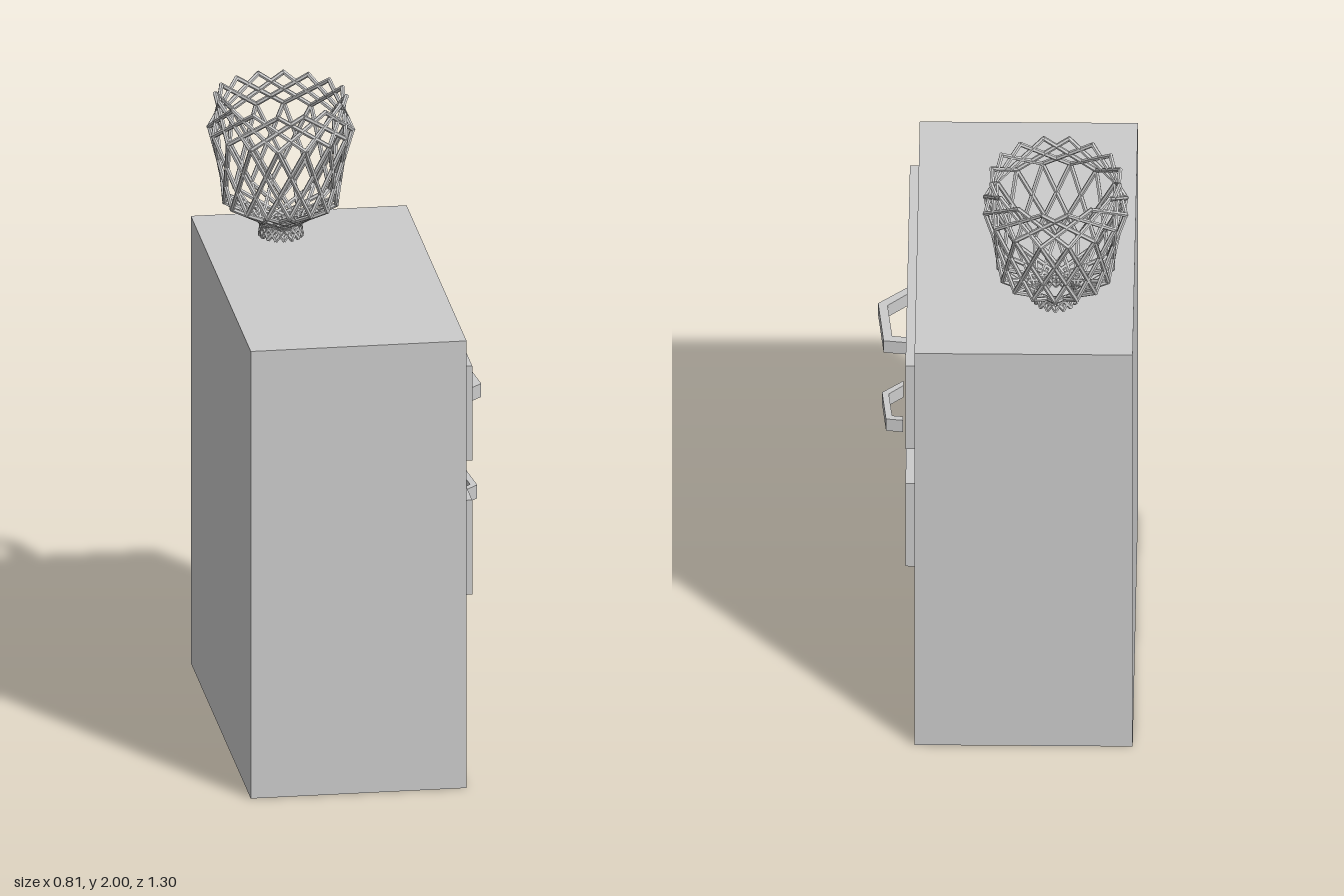
import * as THREE from 'three';
import { mergeGeometries } from 'three/addons/utils/BufferGeometryUtils.js';

const material = new THREE.MeshStandardMaterial({ color: 0xcccccc, flatShading: true });

function part(group, name, geometry, x = 0, y = 0, z = 0) {
  const mesh = new THREE.Mesh(geometry, material);
  mesh.name = name;
  mesh.position.set(x, y, z);
  group.add(mesh);
  return mesh;
}

const polygon = (Type, points) => new Type(points.map(([a, b]) => new THREE.Vector2(a, b)));
const rect = (Type, a0, a1, b0, b1) => polygon(Type, [[a0, b0], [a1, b0], [a1, b1], [a0, b1]]);

// Cabinet shell with the open niche and the slot below it; shape x runs along -z
function cabinetShell(depth) {
  const shape = rect(THREE.Shape, -0.65, 0.65, 0, 1.5);
  shape.holes.push(rect(THREE.Path, -0.545, 0.555, 0.195, 0.47));
  shape.holes.push(rect(THREE.Path, -0.545, 0.555, 0.15, 0.18));
  const geometry = new THREE.ExtrudeGeometry(shape, { depth, bevelEnabled: false });
  return geometry.rotateY(Math.PI / 2);
}

// Angular pull: outline in x and z, extruded upward
function handle(scale, height) {
  const outline = [[0, -0.1], [0.075, -0.09], [0.095, 0.12], [0, 0.213],
    [0, 0.175], [0.065, 0.108], [0.048, -0.063], [0, -0.07]];
  const shape = polygon(THREE.Shape, outline.map(([x, z]) => [x * scale, -z * scale]));
  const geometry = new THREE.ExtrudeGeometry(shape, { depth: height, bevelEnabled: false });
  return geometry.rotateX(-Math.PI / 2);
}

// Straight round rod between two points
function rod(a, b, radius) {
  const dir = b.clone().sub(a);
  const geometry = new THREE.CylinderGeometry(radius, radius, dir.length() + radius, 6);
  const turn = new THREE.Quaternion().setFromUnitVectors(new THREE.Vector3(0, 1, 0), dir.normalize());
  const mid = a.clone().add(b).multiplyScalar(0.5);
  return geometry.applyQuaternion(turn).translate(mid.x, mid.y, mid.z);
}

// Basket woven from rods that wind both ways through the same levels
function basketLattice() {
  const count = 16, step = (Math.PI * 2) / count;
  // radius, height, turn in steps
  const levels = [[0.066, 1.527, 0], [0.062, 1.56, 1], [0.18, 1.64, 4], [0.227, 1.88, 5.5], [0.207, 1.99, 7.5]];
  const rods = [];
  for (let i = 0; i < count; i++) {
    for (const way of [-1, 1]) {
      const points = levels.map(([r, y, turn]) => {
        const angle = (i + way * turn) * step;
        return new THREE.Vector3(r * Math.cos(angle), y, r * 1.06 * Math.sin(angle));
      });
      for (let k = 1; k < points.length; k++) rods.push(rod(points[k - 1], points[k], 0.0075));
    }
  }
  return mergeGeometries(rods);
}

export function createModel() {
  const model = new THREE.Group();
  model.name = 'cabinetWithBasket';

  // Cabinet
  part(model, 'cabinetShell', cabinetShell(0.6), -0.32);
  part(model, 'cabinetBack', new THREE.BoxGeometry(0.09, 1.5, 1.3), -0.365, 0.75);

  // Drawer fronts
  for (const [name, y] of [['upperDrawer', 1.228], ['lowerDrawer', 0.778]]) {
    part(model, name, new THREE.BoxGeometry(0.03, 0.317, 1.125), 0.295, y, 0.0075);
  }

  // Handles
  part(model, 'upperHandle', handle(1, 0.045), 0.31, 1.12, 0);
  part(model, 'lowerHandle', handle(0.71, 0.045), 0.325, 0.78, 0.033);

  // Open woven basket on top
  part(model, 'wovenBasket', basketLattice(), -0.163, 0, -0.372);
  return model;
}
